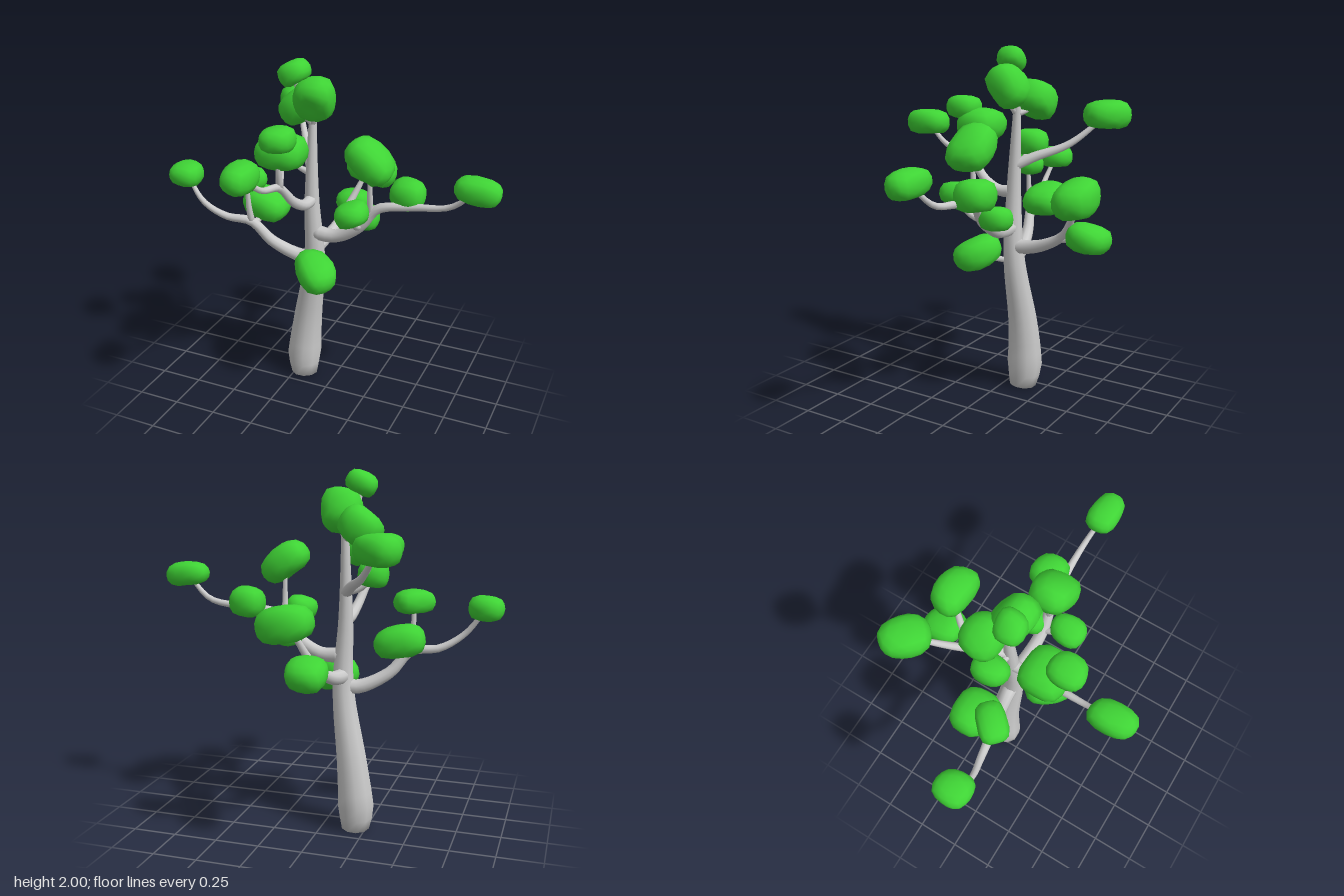
import * as THREE from 'three';
import { mergeVertices } from 'three/addons/utils/BufferGeometryUtils.js';

const bark = new THREE.MeshStandardMaterial({ color: 0xcccccc });
const leaf = new THREE.MeshStandardMaterial({ color: 0x3fd435 });

// Smooth path through [x, y, z] points
const pathThrough = points => new THREE.CatmullRomCurve3(points.map(p => new THREE.Vector3(...p)));

// Even taper that thins a little faster near the base
const taper = (from, to) => u => THREE.MathUtils.lerp(from, to, u ** 0.8);

// Round limb swept along a path; radiusAt gives its radius for 0..1 along the length
function limb(name, path, radiusAt, rings = 24, sides = 10) {
  const { normals, binormals } = path.computeFrenetFrames(rings);
  const pos = [], index = [];
  for (let i = 0; i <= rings; i++) {
    const centre = path.getPointAt(i / rings), r = radiusAt(i / rings);
    for (let j = 0; j < sides; j++) {
      const a = (j / sides) * Math.PI * 2;
      const v = centre.clone()
        .addScaledVector(normals[i], r * Math.cos(a))
        .addScaledVector(binormals[i], r * Math.sin(a));
      pos.push(v.x, v.y, v.z);
      if (i < rings) {
        const p = i * sides + j, q = i * sides + (j + 1) % sides;
        index.push(p, q, q + sides, p, q + sides, p + sides);
      }
    }
  }
  // end caps
  const first = pos.length / 3, last = first + 1, top = rings * sides;
  pos.push(...path.getPoint(0).toArray(), ...path.getPoint(1).toArray());
  for (let j = 0; j < sides; j++) {
    const n = (j + 1) % sides;
    index.push(first, n, j, last, top + j, top + n);
  }
  const geo = new THREE.BufferGeometry();
  geo.setAttribute('position', new THREE.Float32BufferAttribute(pos, 3));
  geo.setIndex(index);
  geo.computeVertexNormals();
  const mesh = new THREE.Mesh(geo, bark);
  mesh.name = name;
  return mesh;
}

// Lumpy, slightly boxy leaf clump with a shallow dent underneath
function clump(centre, radii, spin, tilt) {
  let geo = new THREE.IcosahedronGeometry(1, 2);
  geo.deleteAttribute('normal');
  geo.deleteAttribute('uv');
  geo = mergeVertices(geo, 1e-4);
  const seed = centre[0] * 20 + centre[1] * 13;
  const p = geo.attributes.position, v = new THREE.Vector3();
  for (let i = 0; i < p.count; i++) {
    v.fromBufferAttribute(p, i);
    const box = (v.x ** 4 + v.y ** 4 + v.z ** 4) ** -0.13;
    const bump = 1 + 0.06 * Math.sin(3 * v.x + seed) * Math.cos(2.6 * v.z + seed * 1.7);
    v.multiplyScalar(box * bump);
    if (v.y < 0) v.y *= 1 - 0.25 * Math.exp(-4 * (v.x * v.x + v.z * v.z));
    p.setXYZ(i, v.x, v.y, v.z);
  }
  geo.scale(...radii);
  geo.computeVertexNormals();
  const mesh = new THREE.Mesh(geo, leaf);
  mesh.name = 'leafClump';
  mesh.position.set(...centre);
  mesh.rotation.set(0, spin, tilt, 'YXZ');
  return mesh;
}

// A limb with its clumps. Each clump: place along the limb, centre, radii, spin, tilt.
// Clumps short of the tip get a twig that runs outwards, then turns up.
function bough(name, points, radiusAt, clumps) {
  const group = new THREE.Group(), path = pathThrough(points);
  group.name = name;
  group.add(limb(name + 'Wood', path, radiusAt));
  for (const [at, centre, radii, spin = 0, tilt = 0] of clumps) {
    group.add(clump(centre, radii, spin, tilt));
    if (at === 1) continue;
    const start = path.getPoint(at), end = new THREE.Vector3(...centre);
    const bend = start.clone().lerp(end, 0.6);
    bend.y = THREE.MathUtils.lerp(start.y, end.y, 0.3);
    group.add(limb('twig', new THREE.CatmullRomCurve3([start, bend, end]), taper(0.022, 0.01), 8, 8));
  }
  return group;
}

export function createModel() {
  const tree = new THREE.Group();
  tree.name = 'tree';

  // Trunk with a swollen foot, crown clumps and one low clump in front
  const trunkRadius = u => (0.115 - 0.125 * u + 0.03 * u * u) * Math.min(1, 0.7 + 4 * u);
  tree.add(bough('trunk', [
    [-0.19, 0.01, -0.11], [-0.195, 0.14, -0.12], [-0.17, 0.4, -0.12],
    [-0.11, 0.82, -0.09], [-0.12, 1.2, -0.08], [-0.12, 1.72, -0.1],
  ], trunkRadius, [
    [0.97, [-0.19, 1.93, -0.02], [0.085, 0.065, 0.08], 0, 0.5],
    [0.97, [-0.09, 1.79, -0.06], [0.125, 0.1, 0.115], -1.57, 1.05],
    [0.97, [-0.22, 1.71, -0.16], [0.12, 0.1, 0.11], 0, 0.6],
    [0.86, [-0.28, 1.46, -0.1], [0.08, 0.08, 0.1]],
    [0.59, [-0.02, 0.84, 0.1], [0.14, 0.09, 0.105], -0.8, -0.35],
  ]));

  tree.add(bough('rightBranch', [
    [-0.11, 0.83, -0.09], [-0.2, 0.83, -0.08], [-0.36, 0.91, -0.04], [-0.47, 1.03, 0],
    [-0.62, 1.05, 0.03], [-0.75, 1.13, 0.06], [-0.865, 1.28, 0.04],
  ], taper(0.046, 0.011), [
    [1, [-0.865, 1.28, 0.04], [0.095, 0.07, 0.102]],
    [0.5, [-0.478, 1.3, 0.025], [0.12, 0.068, 0.085], 0.8],
    [0.48, [-0.43, 1.105, -0.125], [0.142, 0.09, 0.12], 0, -0.2],
  ]));

  tree.add(bough('leftBranch', [
    [-0.11, 1, -0.08], [0.03, 1, -0.07], [0.18, 1.09, -0.06], [0.28, 1.21, -0.07],
    [0.48, 1.245, -0.09], [0.68, 1.28, -0.09], [0.83, 1.41, -0.055],
  ], taper(0.046, 0.011), [
    [1, [0.83, 1.41, -0.055], [0.128, 0.072, 0.085], 0, -0.1],
    [0.44, [0.245, 1.495, -0.035], [0.148, 0.092, 0.123], 0, -0.65],
    [0.5, [0.42, 1.285, -0.165], [0.1, 0.088, 0.1]],
    [0.33, [0.195, 1.225, 0.09], [0.085, 0.07, 0.1], 0, 0.3],
    [0.33, [0.185, 1.115, -0.145], [0.075, 0.068, 0.09]],
  ]));

  tree.add(bough('backBranch', [
    [-0.11, 0.89, -0.08], [-0.1, 0.895, -0.18], [-0.08, 0.93, -0.3],
    [-0.055, 1.01, -0.43], [0.04, 1.25, -0.56],
  ], taper(0.048, 0.012), [
    [1, [0.065, 1.25, -0.56], [0.155, 0.1, 0.107], 0, -0.2],
    [0.68, [-0.06, 1.01, -0.575], [0.118, 0.078, 0.11], 1.57, -0.25],
  ]));

  tree.add(bough('upperBackBranch', [
    [-0.12, 1.35, -0.08], [-0.18, 1.4, -0.18], [-0.28, 1.47, -0.34], [-0.4, 1.63, -0.51],
  ], taper(0.034, 0.012), [
    [1, [-0.4, 1.63, -0.51], [0.13, 0.085, 0.105], -0.7],
  ]));

  tree.add(bough('frontBranch', [
    [-0.12, 1.2, -0.08], [-0.12, 1.2, 0.02], [-0.135, 1.26, 0.13], [-0.165, 1.37, 0.23],
    [-0.18, 1.42, 0.41], [-0.21, 1.54, 0.565],
  ], taper(0.037, 0.011), [
    [1, [-0.21, 1.54, 0.565], [0.085, 0.077, 0.128]],
    [0.6, [-0.18, 1.555, 0.17], [0.14, 0.095, 0.13]],
    [0.6, [-0.15, 1.655, 0.27], [0.09, 0.068, 0.1]],
  ]));
  return tree;
}
